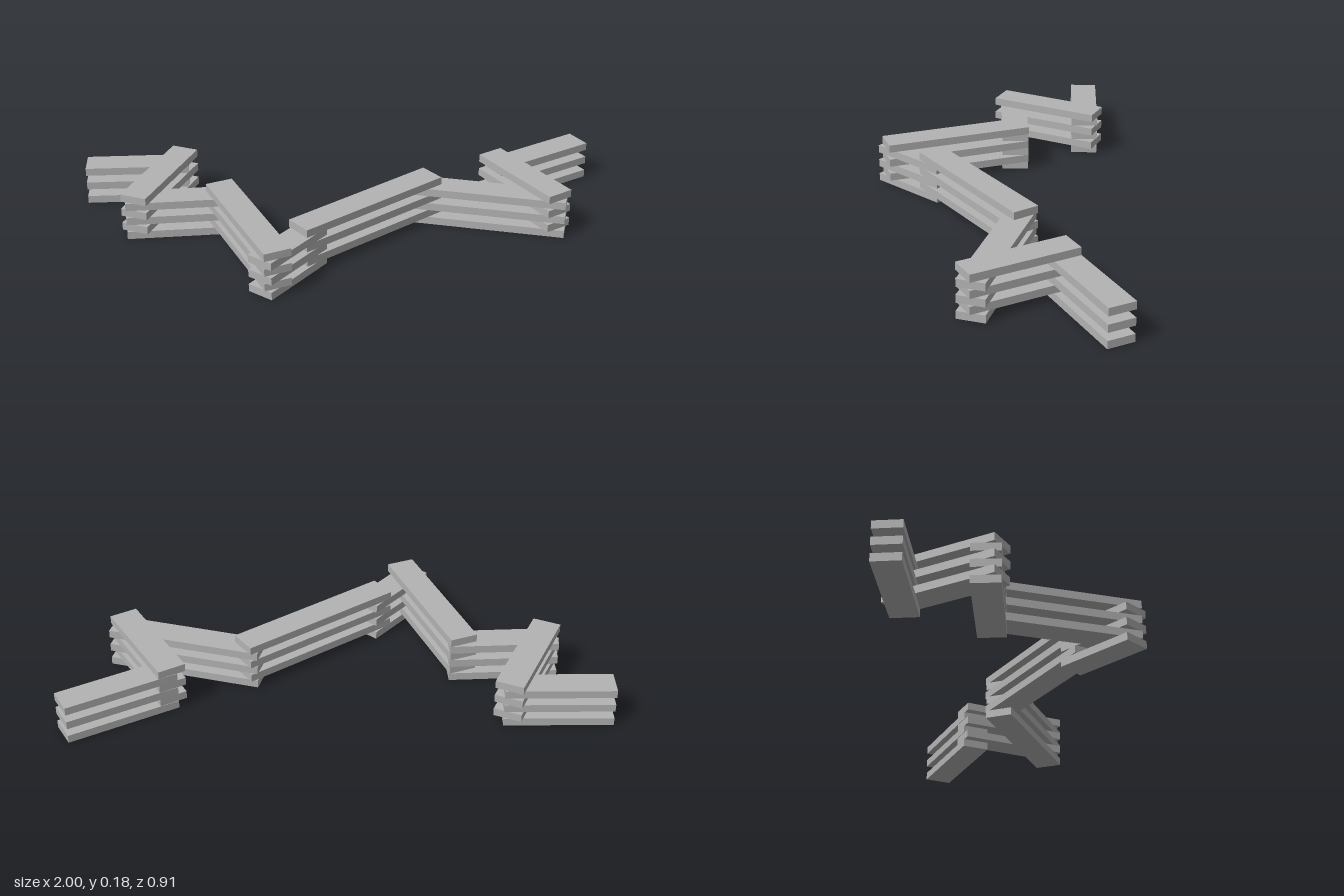
import * as THREE from 'three';

const WIDTH = 0.105;
const HEIGHT = 0.03;

// Zigzag runs of rails: centre-line ends as [x0, z0, x1, z1], from right to left of the model.
// Even runs lie on courses 0, 2, 4; odd runs interleave on courses 1, 3, 5.
const RUNS = [
  [-0.997, -0.400, -0.600, -0.382],
  [-0.610, -0.433, -0.810, -0.040],
  [-0.840, -0.093, -0.435, -0.093],
  [-0.487, -0.130, -0.300, 0.420],
  [-0.365, 0.415, -0.147, 0.180],
  [-0.215, 0.240, 0.330, -0.115],
  [0.262, -0.105, 0.814, 0.080],
  [0.585, -0.270, 0.780, 0.107],
  [0.590, -0.216, 0.975, -0.405],
];

export function createModel() {
  const fence = new THREE.Group();
  fence.name = 'zigzagRailFence';
  const wood = new THREE.MeshStandardMaterial({ color: 0xb3b3b3 });
  wood.name = 'weatheredGrey';

  RUNS.forEach(([x0, z0, x1, z1], i) => {
    const run = new THREE.Group();
    run.name = `fenceRun${i + 1}`;
    run.position.set((x0 + x1) / 2, 0, (z0 + z1) / 2);
    run.rotation.y = -Math.atan2(z1 - z0, x1 - x0);

    // Three stacked rails with a rail-high gap between them
    const geometry = new THREE.BoxGeometry(Math.hypot(x1 - x0, z1 - z0), HEIGHT, WIDTH);
    for (let k = 0; k < 3; k++) {
      const rail = new THREE.Mesh(geometry, wood);
      rail.name = `rail${k + 1}`;
      rail.position.y = (2 * k + (i % 2) + 0.5) * HEIGHT;
      run.add(rail);
    }
    fence.add(run);
  });
  return fence;
}
